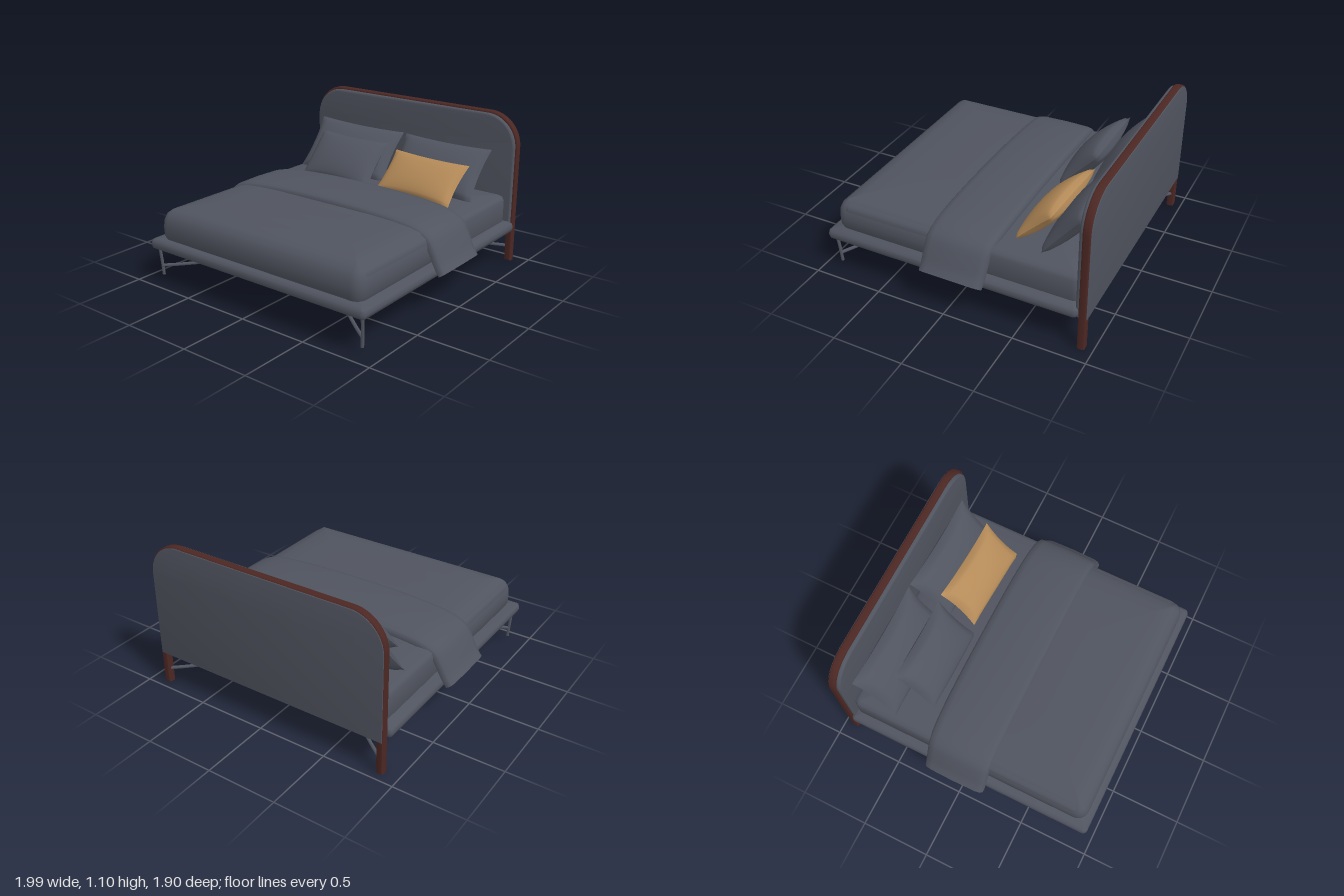
import * as THREE from 'three';
import { toCreasedNormals } from 'three/addons/utils/BufferGeometryUtils.js';

const V = (x, y, z) => new THREE.Vector3(x, y, z);

// Skin a list of closed loops and cap both ends
function loft(loops) {
  const n = loops[0].length, pos = [], idx = [];
  loops.forEach(l => l.forEach(p => pos.push(p.x, p.y, p.z)));
  for (let i = 0; i < loops.length - 1; i++) {
    for (let j = 0; j < n; j++) {
      const a = i * n + j, b = i * n + (j + 1) % n;
      idx.push(a, b, b + n, a, b + n, a + n);
    }
  }
  [0, loops.length - 1].forEach((row, end) => {
    const c = V(0, 0, 0);
    loops[row].forEach(p => c.addScaledVector(p, 1 / n));
    const ci = pos.length / 3;
    pos.push(c.x, c.y, c.z);
    for (let j = 0; j < n; j++) {
      const a = row * n + j, b = row * n + (j + 1) % n;
      idx.push(ci, end ? a : b, end ? b : a);
    }
  });
  const g = new THREE.BufferGeometry();
  g.setAttribute('position', new THREE.Float32BufferAttribute(pos, 3));
  g.setIndex(idx);
  return toCreasedNormals(g, 0.8);
}

// Cushion-like block: rounded rectangles stacked as [inset, height]
function stack(halfW, zMin, zMax, radius, rows) {
  const zc = (zMin + zMax) / 2, halfD = (zMax - zMin) / 2;
  return loft(rows.map(([inset, y]) => {
    const r = Math.max(radius - inset, 0.008);
    const w = halfW - inset - r, d = halfD - inset - r, ring = [];
    [[1, 1], [-1, 1], [-1, -1], [1, -1]].forEach(([sx, sz], q) => {
      for (let k = 0; k <= 5; k++) {
        const t = (q + k / 5) * Math.PI / 2;
        ring.push(V(sx * w + r * Math.cos(t), y, zc - sz * d - r * Math.sin(t)));
      }
    });
    return ring;
  }));
}

// Pillow with pinched edges and pointed corners
function pillow(w, h, depth, mat, name) {
  const group = new THREE.Group();
  group.name = name;
  for (const side of [1, -1]) {
    const g = new THREE.PlaneGeometry(2, 2, 24, 18), p = g.attributes.position;
    for (let i = 0; i < p.count; i++) {
      const x = p.getX(i), y = p.getY(i);
      const bulge = Math.pow(Math.max(0, (1 - x * x) * (1 - y * y)), 0.42);
      p.setXYZ(i, x * w / 2 * (1 - 0.05 * (1 - y * y)), y * h / 2 * (1 - 0.06 * (1 - x * x)), depth * bulge);
    }
    g.computeVertexNormals();
    const m = new THREE.Mesh(g, mat);
    m.name = side > 0 ? 'pillowFront' : 'pillowBack';
    if (side < 0) m.rotation.y = Math.PI;
    group.add(m);
  }
  return group;
}

// Headboard outline: upright panel with rounded top corners
function archPoints(path, w, bottom, top, r) {
  path.moveTo(-w, bottom);
  path.lineTo(w, bottom);
  path.lineTo(w, top - r);
  path.absarc(w - r, top - r, r, 0, Math.PI / 2, false);
  path.lineTo(-w + r, top);
  path.absarc(-w + r, top - r, r, Math.PI / 2, Math.PI, false);
  path.lineTo(-w, bottom);
  return path;
}

export function createModel() {
  const bed = new THREE.Group();
  bed.name = 'bed';
  const material = (name, color) => {
    const m = new THREE.MeshStandardMaterial({ color });
    m.name = name;
    return m;
  };
  const fabric = material('slate fabric', 0x50545f);
  const wood = material('dark wood', 0x4c2723);
  const tan = material('tan fabric', 0xb48a58);
  const add = (name, geo, mat) => {
    const m = new THREE.Mesh(geo, mat);
    m.name = name;
    bed.add(m);
    return m;
  };
  const extrude = (shape, depth, bevel, z) => {
    const g = new THREE.ExtrudeGeometry(shape, {
      depth: depth - 2 * bevel, bevelEnabled: bevel > 0, bevelSize: bevel, bevelThickness: bevel,
      bevelOffset: -bevel, bevelSegments: 3, curveSegments: 14,
    });
    return toCreasedNormals(g.translate(0, 0, z + bevel), 0.6);
  };

  // Headboard: wooden hoop running down into the rear legs
  const hoop = new THREE.Shape();
  hoop.moveTo(-0.9, 0);
  hoop.lineTo(-0.85, 0);
  hoop.lineTo(-0.85, 0.86);
  hoop.absarc(-0.66, 0.86, 0.19, Math.PI, Math.PI / 2, true);
  hoop.lineTo(0.66, 1.05);
  hoop.absarc(0.66, 0.86, 0.19, Math.PI / 2, 0, true);
  hoop.lineTo(0.85, 0);
  hoop.lineTo(0.9, 0);
  hoop.lineTo(0.9, 0.86);
  hoop.absarc(0.66, 0.86, 0.24, 0, Math.PI / 2, false);
  hoop.lineTo(-0.66, 1.1);
  hoop.absarc(-0.66, 0.86, 0.24, Math.PI / 2, Math.PI, false);
  hoop.lineTo(-0.9, 0);
  add('headboardFrame', extrude(hoop, 0.055, 0.012, -0.95), wood);
  const face = archPoints(new THREE.Shape(), 0.885, 0.24, 1.085, 0.23);
  add('headboardPad', extrude(face, 0.05, 0.014, -0.92), fabric);
  const back = archPoints(new THREE.Shape(), 0.892, 0.24, 1.092, 0.235);
  add('headboardBack', extrude(back, 0.04, 0.004, -0.953), fabric);

  // Platform, mattress and duvet
  add('platform', stack(0.92, -0.895, 0.95, 0.035,
    [[0.03, 0.235], [0.008, 0.248], [0, 0.275], [0.008, 0.302], [0.03, 0.315]]), fabric);
  add('mattress', stack(0.85, -0.885, 0.86, 0.06,
    [[0.01, 0.3], [0, 0.33], [0, 0.47], [0.012, 0.495], [0.04, 0.51], [0.3, 0.516]]), fabric);
  add('duvet', stack(0.86, -0.27, 0.905, 0.08,
    [[0.02, 0.305], [0.003, 0.34], [0, 0.4], [0.006, 0.45], [0.028, 0.495], [0.07, 0.525],
      [0.14, 0.543], [0.28, 0.556], [0.45, 0.562], [0.57, 0.562]]), fabric);

  // Throw blanket draped over both sides
  const half = [[0, 0.6], [0.3, 0.596], [0.6, 0.578], [0.76, 0.553], [0.86, 0.505], [0.915, 0.42], [0.955, 0.34], [0.99, 0.29]];
  const drape = new THREE.CatmullRomCurve3([
    ...half.slice(1).reverse().map(([x, y]) => V(-x, y, 0)), ...half.map(([x, y]) => V(x, y, 0))]);
  const section = [[-0.295, -0.05], [-0.295, -0.025], [-0.28, -0.008], [-0.24, 0], [-0.05, 0.004],
    [0.13, 0], [0.165, -0.008], [0.18, -0.025], [0.18, -0.05], [-0.05, -0.05]];
  const sections = [];
  for (let i = 0; i <= 48; i++) {
    const p = drape.getPoint(i / 48), t = drape.getTangent(i / 48);
    const out = Math.pow(Math.abs(p.x), 4);
    sections.push(section.map(([z, s]) => V(
      p.x - t.y * s, p.y + t.x * s, z + out * (z < -0.2 ? 0.035 : 0.008))));
  }
  add('throwBlanket', loft(sections), fabric);

  // Pillows leaning on the headboard: [name, w, h, depth, x, y, z, lean, yaw, roll, material]
  [
    ['backPillowRight', 0.78, 0.44, 0.085, -0.415, 0.675, -0.7, -0.68, 0.02, -0.02, fabric],
    ['backPillowLeft', 0.74, 0.43, 0.085, 0.365, 0.67, -0.7, -0.68, -0.02, 0, fabric],
    ['frontPillowRight', 0.62, 0.41, 0.085, -0.325, 0.655, -0.485, -0.74, 0, -0.01, fabric],
    ['accentPillow', 0.64, 0.36, 0.075, 0.36, 0.635, -0.495, -0.79, -0.04, -0.01, tan],
  ].forEach(([name, w, h, d, x, y, z, lean, yaw, roll, mat]) => {
    const p = pillow(w, h, d, mat, name);
    p.position.set(x, y, z);
    p.rotation.set(lean, yaw, roll, 'YXZ');
    bed.add(p);
  });

  // Slim foot legs and V-shaped stretchers under the platform
  const tube = (pts, r) => new THREE.TubeGeometry(new THREE.CatmullRomCurve3(pts), 24, r, 8, false);
  for (const s of [1, -1]) {
    const side = s > 0 ? 'Left' : 'Right';
    add('footLeg' + side, tube([V(s * 0.875, 0.25, 0.9), V(s * 0.87, 0.14, 0.89), V(s * 0.865, 0.04, 0.885)], 0.011), fabric);
    const tip = add('footLegTip' + side, new THREE.CylinderGeometry(0.011, 0.011, 0.006, 8), fabric);
    tip.position.set(s * 0.865, 0.041, 0.885);
    for (const f of [1, -1]) {
      const z = q => f * (0.29 + 0.6 * q) - (f < 0 ? 0.04 : 0);
      add((f > 0 ? 'frontStretcher' : 'rearStretcher') + side, tube([
        V(s * 0.87, 0.105, z(1)), V(s * 0.78, 0.115, z(0.9)), V(s * 0.6, 0.138, z(0.69)),
        V(s * 0.4, 0.146, z(0.46)), V(0, 0.148, z(0))], 0.012), fabric);
    }
  }
  return bed;
}
